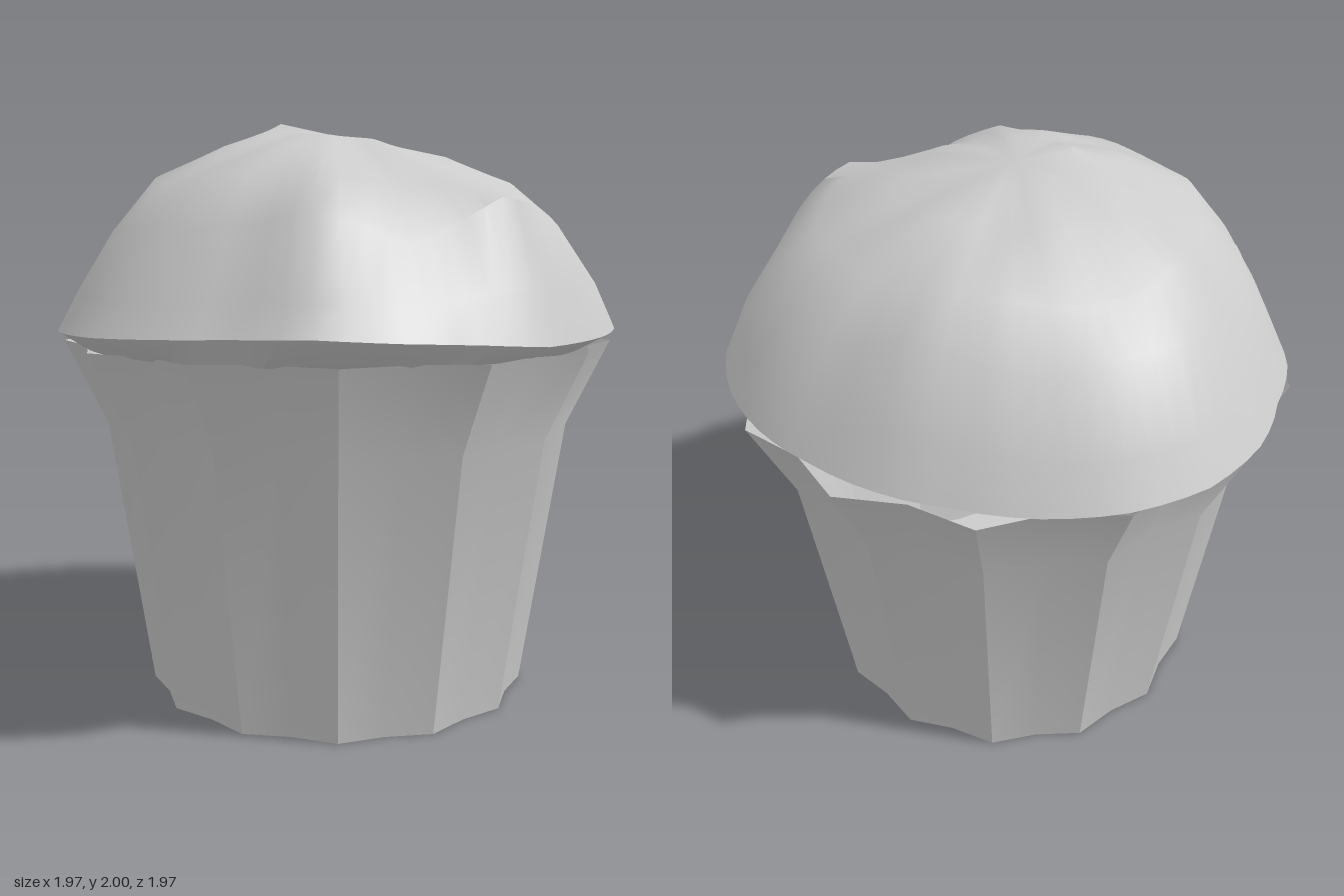
import * as THREE from 'three';
import { toCreasedNormals } from 'three/addons/utils/BufferGeometryUtils.js';

const TAU = Math.PI * 2;

// Skin closed rings of points, listed from bottom to top
function loft(rings, crease) {
  const n = rings[0].length;
  const index = [];
  for (let i = 0; i < rings.length - 1; i++) {
    for (let j = 0; j < n; j++) {
      const a = i * n + j, b = i * n + (j + 1) % n;
      index.push(a, a + n, b, b, a + n, b + n);
    }
  }
  const geometry = new THREE.BufferGeometry().setFromPoints(rings.flat());
  geometry.setIndex(index);
  geometry.computeVertexNormals();
  return toCreasedNormals(geometry, crease);
}

// Fluted paper cup: 13 sharp pleats with a flared lip
function buildWrapper(material) {
  const pleats = 13;
  const levels = [ // height, ridge radius, valley radius
    [0, 0, 0], [0, 0.675, 0.64], [0.95, 0.82, 0.765], [1.25, 0.965, 0.895],
  ];
  const rings = levels.map(([y, ridge, valley]) =>
    Array.from({ length: pleats * 2 }, (_, j) => {
      const a = -Math.PI / 2 + (j / (pleats * 2)) * TAU;
      const r = j % 2 ? valley : ridge;
      return new THREE.Vector3(0.02 + r * Math.cos(a), y, r * Math.sin(a));
    }));
  const mesh = new THREE.Mesh(loft(rings, 0.42), material);
  mesh.name = 'wrapper';
  return mesh;
}

// Rim radius every 15 degrees, from +x towards +z
const RIM = [
  0.95, 0.97, 0.985, 0.99, 0.98, 0.98, 0.98, 0.955, 1.01, 1.03, 0.97, 0.98,
  0.99, 0.98, 0.96, 0.92, 0.94, 0.94, 0.99, 1.015, 1.0, 0.965, 0.94, 0.945,
];

// Heights of the crust along chosen directions, at these parts of the rim radius
const PARTS = [1, 0.93, 0.8, 0.65, 0.4, 0.2, 0];
const CRUST = [ // angle in degrees, then a height for each part
  [0, 1.30, 1.44, 1.64, 1.78, 1.90, 1.94, 1.96],
  [45, 1.30, 1.45, 1.64, 1.77, 1.87, 1.92, 1.96],
  [90, 1.29, 1.46, 1.73, 1.79, 1.88, 1.94, 1.96],
  [115, 1.32, 1.42, 1.61, 1.74, 1.87, 1.94, 1.96],
  [135, 1.34, 1.44, 1.68, 1.82, 1.90, 1.95, 1.96],
  [180, 1.31, 1.42, 1.63, 1.79, 1.90, 1.96, 1.96],
  [225, 1.29, 1.43, 1.65, 1.81, 1.91, 2.00, 1.96],
  [270, 1.30, 1.43, 1.66, 1.80, 1.91, 1.97, 1.96],
  [315, 1.28, 1.43, 1.66, 1.79, 1.89, 1.95, 1.96],
  [340, 1.29, 1.45, 1.69, 1.82, 1.91, 1.95, 1.96],
  [360, 1.30, 1.44, 1.64, 1.78, 1.90, 1.94, 1.96],
];

function crustHeight(degrees, k) {
  const i = CRUST.findIndex((row) => row[0] > degrees);
  const [p, q] = [CRUST[i - 1], CRUST[i]];
  const t = (degrees - p[0]) / (q[0] - p[0]);
  return THREE.MathUtils.lerp(p[k + 1], q[k + 1], t);
}

// Lumpy baked top with an overhanging rim
function buildTop(material) {
  const columns = 72;
  const perRim = columns / RIM.length;
  const ring = (radiusAndHeight) => Array.from({ length: columns }, (_, j) => {
    const degrees = (j / columns) * 360;
    const s = Math.floor(j / perRim);
    const rim = THREE.MathUtils.lerp(RIM[s], RIM[(s + 1) % RIM.length], (j % perRim) / perRim);
    const [r, y] = radiusAndHeight(rim, degrees);
    const a = THREE.MathUtils.degToRad(degrees);
    return new THREE.Vector3(r * Math.cos(a), y, r * Math.sin(a));
  });
  const rings = [
    ring(() => [0, 1.24]), // underside
    ring(() => [0.88, 1.24]),
    ...PARTS.map((part, k) => ring((rim, d) => {
      const bump = 0.012 * Math.sin(THREE.MathUtils.degToRad(d * 7) + k * 2) * (k > 1 && k < 5 ? 1 : 0);
      return [rim * part, crustHeight(d, k) + bump];
    })),
  ];
  const mesh = new THREE.Mesh(loft(rings, 0.7), material);
  mesh.name = 'muffinTop';
  return mesh;
}

export function createModel() {
  const group = new THREE.Group();
  group.name = 'muffin';
  const material = new THREE.MeshStandardMaterial({ color: 0xcccccc, side: THREE.DoubleSide });
  group.add(buildWrapper(material), buildTop(material));
  return group;
}
